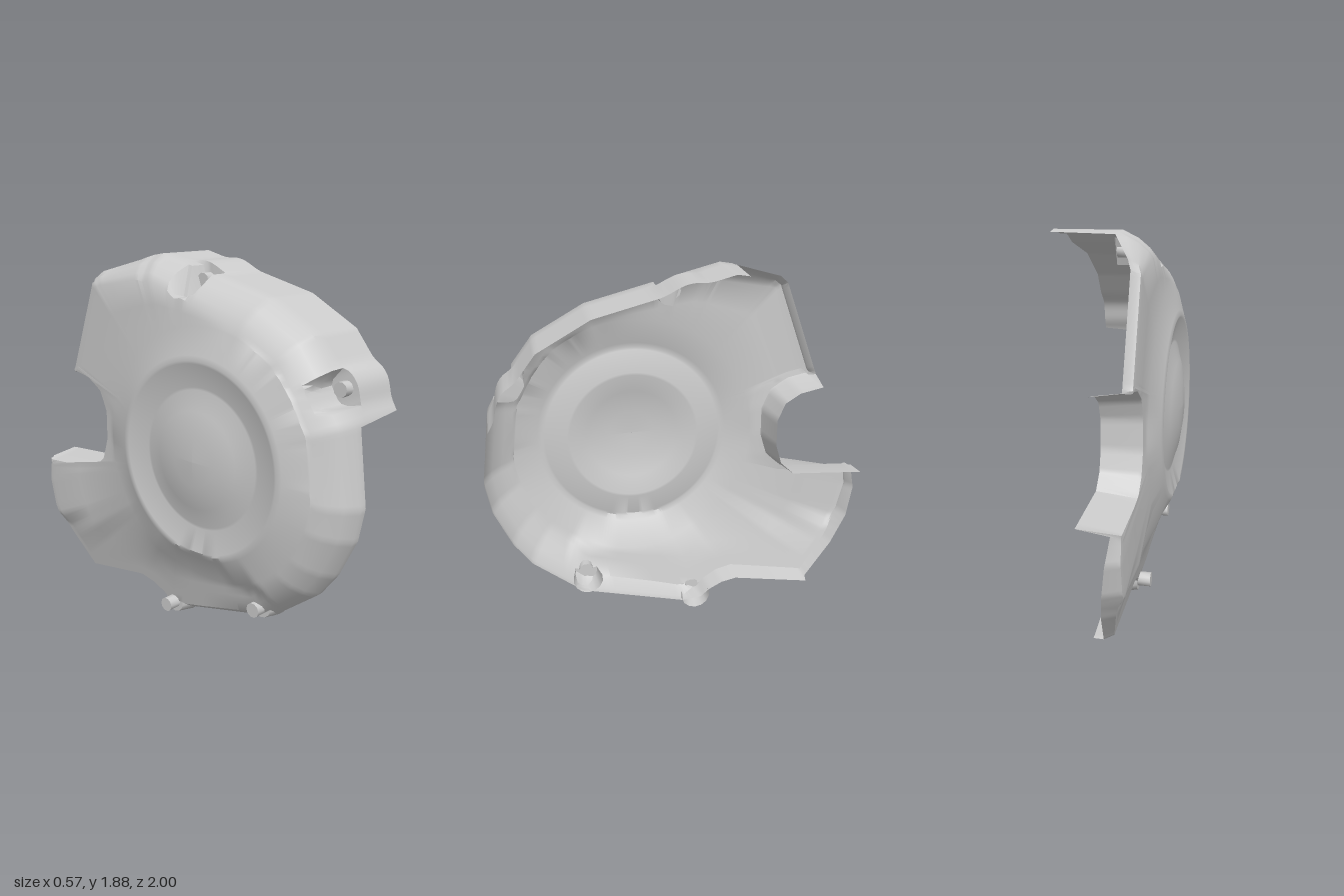
import * as THREE from 'three';
import { toCreasedNormals } from 'three/addons/utils/BufferGeometryUtils.js';

const CZ = 0.22, CY = 0.95; // centre of the round bulge
const { lerp, mapLinear } = THREE.MathUtils;

// Stretch of the outline: z, y pairs, with wall rim x and shoulder roundness running evenly along it
function stretch(rim0, rim1, round0, round1, zy) {
  return zy.map(([z, y], i) => {
    const t = i / (zy.length - 1);
    return [z, y, lerp(rim0, rim1, t), lerp(round0, round1, t)];
  });
}

const tallWall = stretch(0.27, 0.28, 1, 1, [
  [-0.25, 1.87], [-0.19, 1.88], [0.2, 1.78], [0.47, 1.71], [0.72, 1.57], [0.85, 1.4], [0.95, 1.22]]);
const bowlEdge = stretch(-0.02, -0.02, 1, 1, [
  [0.955, 1.2], [1, 0.84], [0.97, 0.68], [0.88, 0.49], [0.79, 0.37], [0.54, 0.18], [0, 0.05]]);
const lowerFlange = stretch(-0.02, -0.03, 0.5, 0, [
  [-0.1, 0.06], [-0.15, 0.1], [-0.22, 0.135], [-0.3, 0.15], [-0.71, 0.08]]);
const tailEdge = stretch(-0.08, -0.17, 0, 0, [
  [-0.72, 0.085], [-0.87, 0.27], [-0.96, 0.42], [-1, 0.58], [-0.985, 0.71]]);
const notchWall = stretch(-0.02, -0.02, 0, 0, [
  [-0.98, 0.73], [-0.6, 0.755], [-0.53, 0.82], [-0.5, 0.92], [-0.5, 1.06], [-0.54, 1.15], [-0.62, 1.2], [-0.74, 1.225]]);
const rearEdge = stretch(-0.17, -0.17, 0, 0, [[-0.75, 1.25], [-0.575, 1.74]]);
const rearSlope = stretch(-0.15, -0.04, 0.2, 0.8, [[-0.53, 1.78], [-0.27, 1.865]]);

// Bolt pockets sunk into the tall wall: z, y
const POCKETS = [[0.85, 1.35], [0.05, 1.765]];
const POCKET_R = 0.08;

// Rows from wall base to face: inset and x, for a crisp and a rounded shoulder
const CRISP = [[0.025, -0.195], [0.03, -0.21], [0.045, -0.212], [0.06, -0.214]];
const ROUND = [[0, -0.06], [0.04, -0.13], [0.09, -0.18], [0.13, -0.205]];

// Rows of the round bulge: radius and x
const BULGE = [[0.5, -0.262], [0.475, -0.27], [0.462, -0.267], [0.348, -0.238], [0.335, -0.238],
  [0.24, -0.268], [0.12, -0.289], [0.001, -0.295]];

// The face draws in toward the bottom edge
const faceLimit = (y) => (y < 0.33 ? mapLinear(y, 0.1, 0.33, -0.125, -0.175) : mapLinear(y, 0.33, 0.49, -0.175, -0.27));

function resample(points, step) {
  const out = [];
  points.forEach((a, i) => {
    const b = points[(i + 1) % points.length];
    const n = Math.max(1, Math.round(Math.hypot(b[0] - a[0], b[1] - a[1]) / step));
    for (let k = 0; k < n; k++) out.push(a.map((v, j) => lerp(v, b[j], k / n)));
  });
  return out;
}

// Dents the shell inward at a pocket, and swells the wall gently beyond its floor
function applyPockets(z, y, x) {
  for (const [pz, py] of POCKETS) {
    const len = Math.hypot(CZ - pz, CY - py);
    const nz = (CZ - pz) / len, ny = (CY - py) / len;
    const dz = z - pz, dy = y - py;
    const along = dz * nz + dy * ny, side = Math.abs(dy * nz - dz * ny);
    let push = 0;
    if (x > 0.025 && side < 0.12) push = -0.0125 * (1 + Math.cos((Math.PI * side) / 0.12));
    if (x <= 0.025 && side < POCKET_R) {
      const reach = Math.min(Math.sqrt(POCKET_R ** 2 - side ** 2), POCKET_R * 0.88);
      if (Math.abs(along) < reach) push = reach - along;
    }
    if (Math.abs(along) < 0.12) {
      z += nz * push;
      y += ny * push;
    }
  }
  return [x, y, z];
}

function shellGeometry() {
  const outline = [tallWall, bowlEdge, lowerFlange, tailEdge, notchWall, rearEdge, rearSlope].flat();
  const pts = resample(outline, 0.022), n = pts.length;
  const columns = pts.map(([z, y, rim, w], i) => {
    const a = pts[(i + n - 2) % n], b = pts[(i + 2) % n];
    // inset direction: square to a crisp edge, toward the centre on a rounded one
    const square = new THREE.Vector2(b[1] - a[1], a[0] - b[0]).normalize();
    const inward = new THREE.Vector2(CZ - z, CY - y).normalize();
    const dir = square.lerp(inward, w).normalize();
    const rows = [[0, rim], [0, Math.min(rim, 0.03)], [0, Math.min(rim, 0.02)]];
    CRISP.forEach((c, k) => rows.push([lerp(c[0], ROUND[k][0], w), lerp(c[1], ROUND[k][1], w)]));
    const col = rows.map(([d, x]) => applyPockets(z + dir.x * d, y + dir.y * d, x));
    // continue from the shoulder across the face to the bulge
    const last = rows[rows.length - 1][0];
    const lz = z + dir.x * last - CZ, ly = y + dir.y * last - CY;
    const r = Math.hypot(lz, ly);
    const face = [[lerp(r, 0.6, 0.4), -0.218], [Math.min(0.63, r * 0.97), -0.222], ...BULGE];
    face.forEach(([q, x]) => col.push([x, CY + (ly / r) * q, CZ + (lz / r) * q]));
    return col.map(([px, py, pz]) => [Math.max(px, faceLimit(py)), py, pz]);
  });
  const m = columns[0].length, index = [];
  for (let i = 0; i < n; i++) {
    for (let k = 0; k < m - 1; k++) {
      const a = i * m + k, b = ((i + 1) % n) * m + k;
      index.push(a, a + 1, b, b, a + 1, b + 1);
    }
  }
  const g = new THREE.BufferGeometry();
  g.setAttribute('position', new THREE.Float32BufferAttribute(columns.flat(2), 3));
  g.setIndex(index);
  return toCreasedNormals(g, 0.6);
}

export function createModel() {
  const group = new THREE.Group();
  const mat = new THREE.MeshStandardMaterial({ color: 0xcccccc, side: THREE.DoubleSide });
  // Turns a shape made around y to lie along x, and places it
  const add = (name, geometry, x, y, z) => {
    const mesh = new THREE.Mesh(toCreasedNormals(geometry, 0.7), mat);
    mesh.name = name;
    mesh.rotation.z = -Math.PI / 2;
    mesh.position.set(x, y, z);
    group.add(mesh);
  };

  const shell = new THREE.Mesh(shellGeometry(), mat);
  shell.name = 'coverShell';
  group.add(shell);

  // Bolts on the pocket floors
  for (const [z, y] of POCKETS) add('pocketBolt', new THREE.CylinderGeometry(0.035, 0.035, 0.05, 10), -0.01, y, z);

  // Lower mounting lugs, half cups open to the inside, with their bolts
  const cup = [[0, -0.12], [0.058, -0.12], [0.078, -0.015]].map(([r, x]) => new THREE.Vector2(r, x));
  const sweep = Math.PI * 1.15;
  for (const [z, y] of [[0.51, 0.245], [-0.07, 0.08]]) {
    add('mountingLug', new THREE.LatheGeometry(cup, 8, (Math.PI - sweep) / 2, sweep), 0, y, z);
    add('lugBolt', new THREE.CylinderGeometry(0.037, 0.037, 0.07, 10), -0.15, y, z);
  }
  return group;
}
